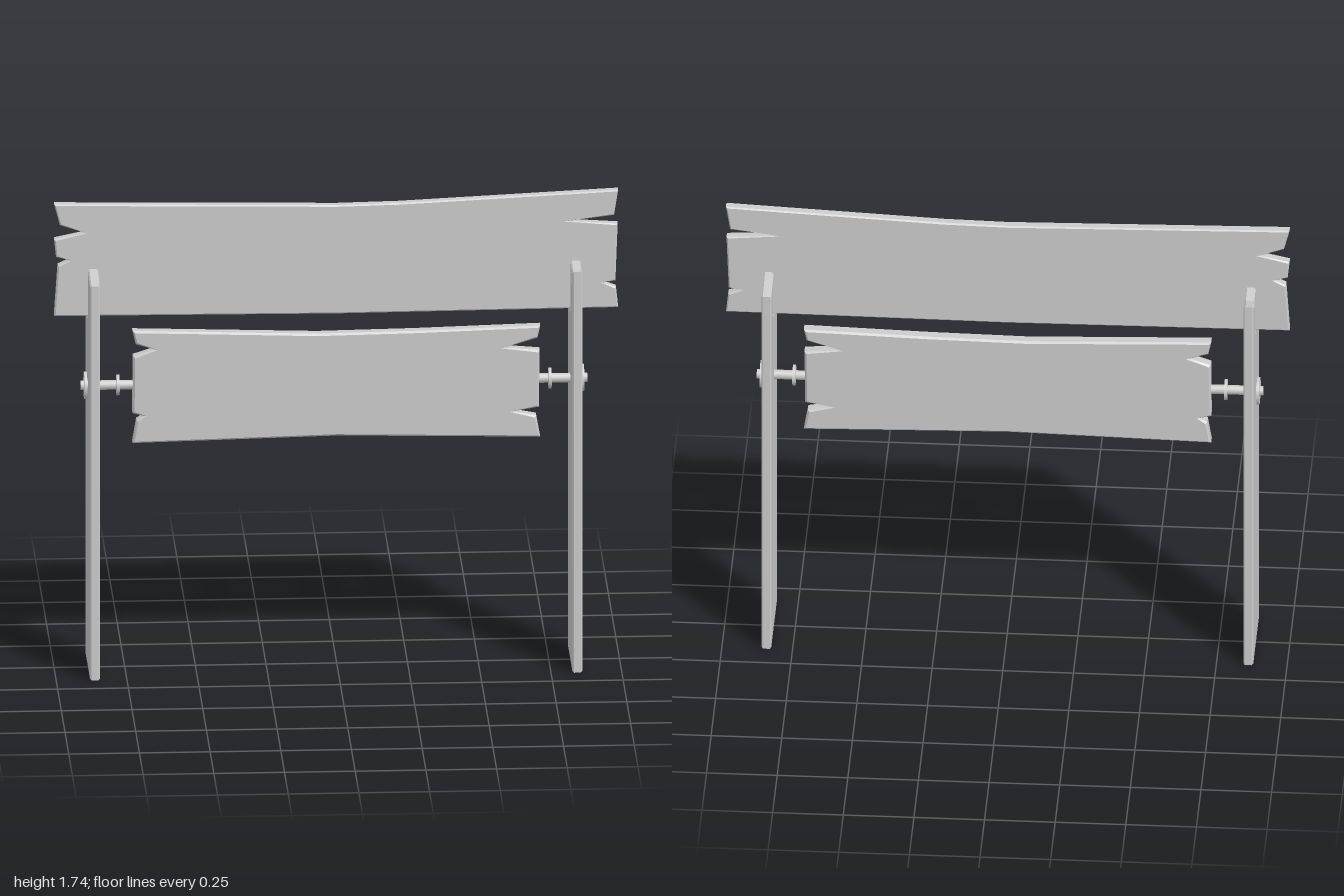
import * as THREE from 'three';

const material = new THREE.MeshStandardMaterial({ color: 0xcccccc });

// Plank cut from an outline, with chamfered edges, centred on its thickness
function board(name, outline, thickness, bevel) {
  const shape = new THREE.Shape(outline.map(([x, y]) => new THREE.Vector2(x, y)));
  const geometry = new THREE.ExtrudeGeometry(shape, {
    depth: thickness - 2 * bevel,
    bevelEnabled: true,
    bevelThickness: bevel,
    bevelSize: bevel,
    bevelOffset: -bevel,
    bevelSegments: 1,
  });
  geometry.translate(0, 0, bevel - thickness / 2);
  const mesh = new THREE.Mesh(geometry, material);
  mesh.name = name;
  return mesh;
}

// Cylinder lying along x
function disc(name, radius, x0, x1, sides = 24) {
  const geometry = new THREE.CylinderGeometry(radius, radius, x1 - x0, sides);
  geometry.rotateZ(Math.PI / 2);
  const mesh = new THREE.Mesh(geometry, material);
  mesh.name = name;
  mesh.position.x = (x0 + x1) / 2;
  return mesh;
}

// Outlines run counter-clockwise from the lower left corner
const topOutline = [
  [-1, 1.308], [0, 1.301], [0.995, 1.308], [0.987, 1.383], [0.94, 1.4], [0.985, 1.407],
  [0.993, 1.618], [0.805, 1.63], [0.98, 1.65], [0.995, 1.743], [0.22, 1.707], [0, 1.703],
  [-1, 1.722], [-0.98, 1.645], [-0.89, 1.615], [-1, 1.592], [-0.993, 1.527],
  [-0.945, 1.514], [-0.987, 1.495],
];
const lowerOutline = [
  [-0.723, 0.833], [0, 0.849], [0.719, 0.833], [0.705, 0.912], [0.618, 0.928], [0.714, 0.944],
  [0.717, 1.154], [0.59, 1.165], [0.709, 1.2], [0.719, 1.245], [0.275, 1.233], [-0.07, 1.228],
  [-0.723, 1.249], [-0.712, 1.2], [-0.644, 1.179], [-0.721, 1.154], [-0.723, 0.944],
  [-0.682, 0.933], [-0.709, 0.917],
];
// Post outline in (z, y), with a slot that holds the top plank
const postOutline = [
  [-0.157, 0], [0.157, 0], [0.157, 1.487], [0.125, 1.477], [0.111, 1.434], [0.097, 1.477],
  [0.023, 1.487], [0.023, 1.3], [-0.023, 1.3], [-0.023, 1.483], [-0.157, 1.462],
];

export function createModel() {
  const group = new THREE.Group();
  group.name = 'signboard';

  group.add(board('topPlank', topOutline, 0.036, 0.005));
  group.add(board('lowerPlank', lowerOutline, 0.046, 0.007));

  // Each end is the same post and axle, turned half round about the middle
  [['left', 0], ['right', Math.PI]].forEach(([side, turn]) => {
    const end = new THREE.Group();
    end.name = side + 'End';

    const post = board('post', postOutline, 0.035, 0.005);
    post.rotation.y = -Math.PI / 2;
    post.position.x = 0.853;
    end.add(post);

    // Axle with a washer on the outside and a collar on the inside
    const axle = new THREE.Group();
    axle.name = 'axle';
    axle.position.y = 1.045;
    axle.add(
      disc('rod', 0.017, 0.69, 0.896, 16),
      disc('outerWasher', 0.049, 0.874, 0.884),
      disc('innerCollar', 0.037, 0.759, 0.769),
    );
    end.add(axle);

    end.rotation.y = turn;
    end.position.x = -0.01;
    group.add(end);
  });

  return group;
}
